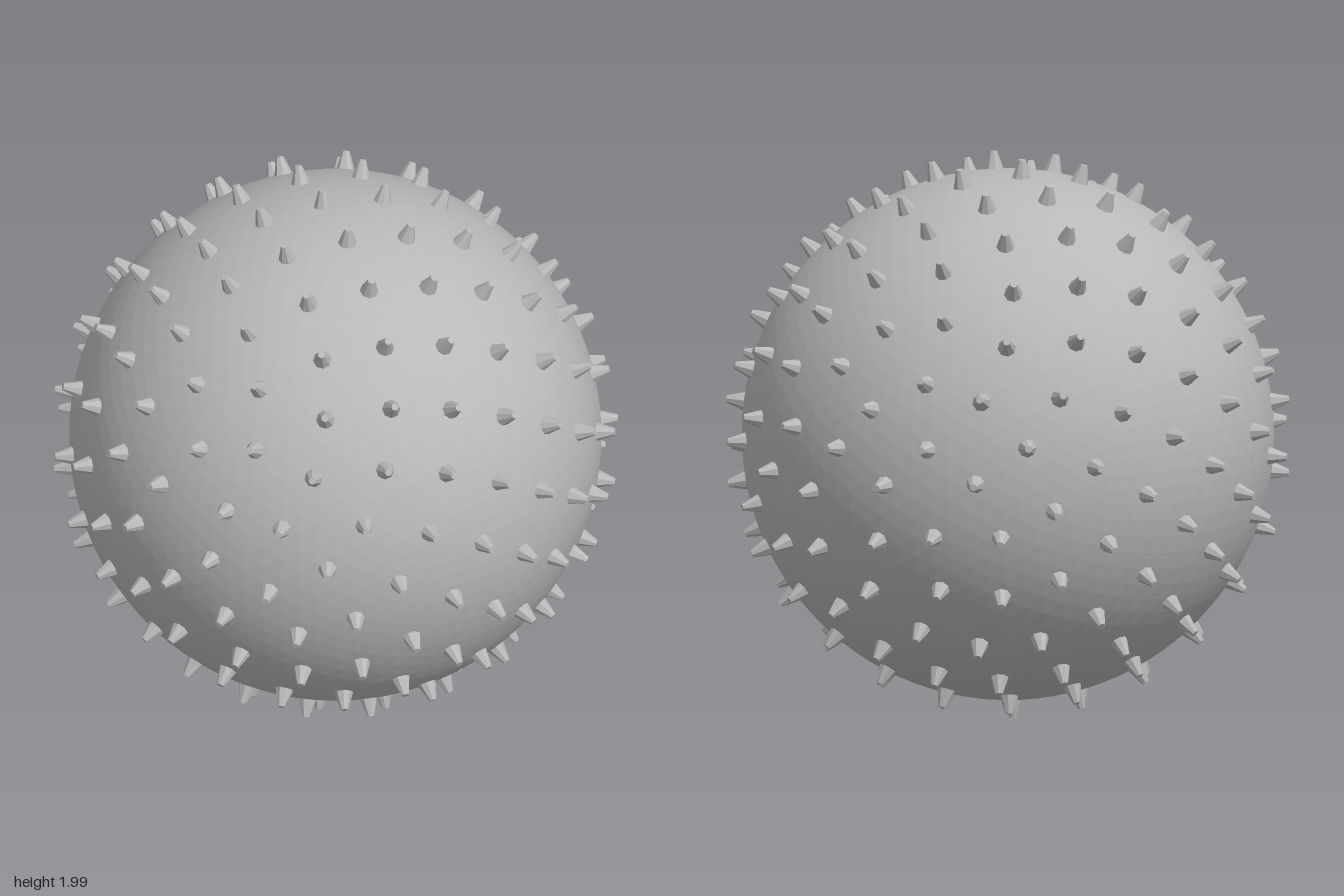
import * as THREE from 'three';

const BODY_RADIUS = 0.937;
const TIP_RADIUS = 1.0;
const SPIKE_COUNT = 220;

export function createModel() {
  const model = new THREE.Group();
  model.name = 'spikyBall';
  const grey = new THREE.MeshStandardMaterial({ color: 0xb8b8b8, flatShading: true });
  grey.name = 'grey';

  // Everything is built around the ball's centre, one unit above the ground
  const ball = new THREE.Group();
  ball.name = 'ball';
  ball.position.y = 1;
  model.add(ball);

  // Round body with fine facets
  const body = new THREE.Mesh(new THREE.IcosahedronGeometry(BODY_RADIUS, 15), grey);
  body.name = 'body';
  ball.add(body);

  // Blunt eight-sided spike, its foot sunk slightly into the body
  const foot = BODY_RADIUS - 0.008;
  const height = TIP_RADIUS - foot;
  const spikeGeometry = new THREE.CylinderGeometry(0.013, 0.035, height, 8);
  spikeGeometry.translate(0, foot + height / 2, 0);

  // Spikes spread evenly along a golden spiral that runs from front to back
  const up = new THREE.Vector3(0, 1, 0);
  const spikes = new THREE.Group();
  spikes.name = 'spikes';
  for (let i = 0; i < SPIKE_COUNT; i++) {
    const z = 1 - (2 * i + 1) / SPIKE_COUNT;
    const ring = Math.sqrt(1 - z * z);
    const angle = Math.PI * (1 + Math.sqrt(5)) * (i + 0.5);
    const direction = new THREE.Vector3(ring * Math.cos(angle), ring * Math.sin(angle), z);
    const spike = new THREE.Mesh(spikeGeometry, grey);
    spike.name = 'spike';
    spike.quaternion.setFromUnitVectors(up, direction);
    spikes.add(spike);
  }
  ball.add(spikes);

  return model;
}
